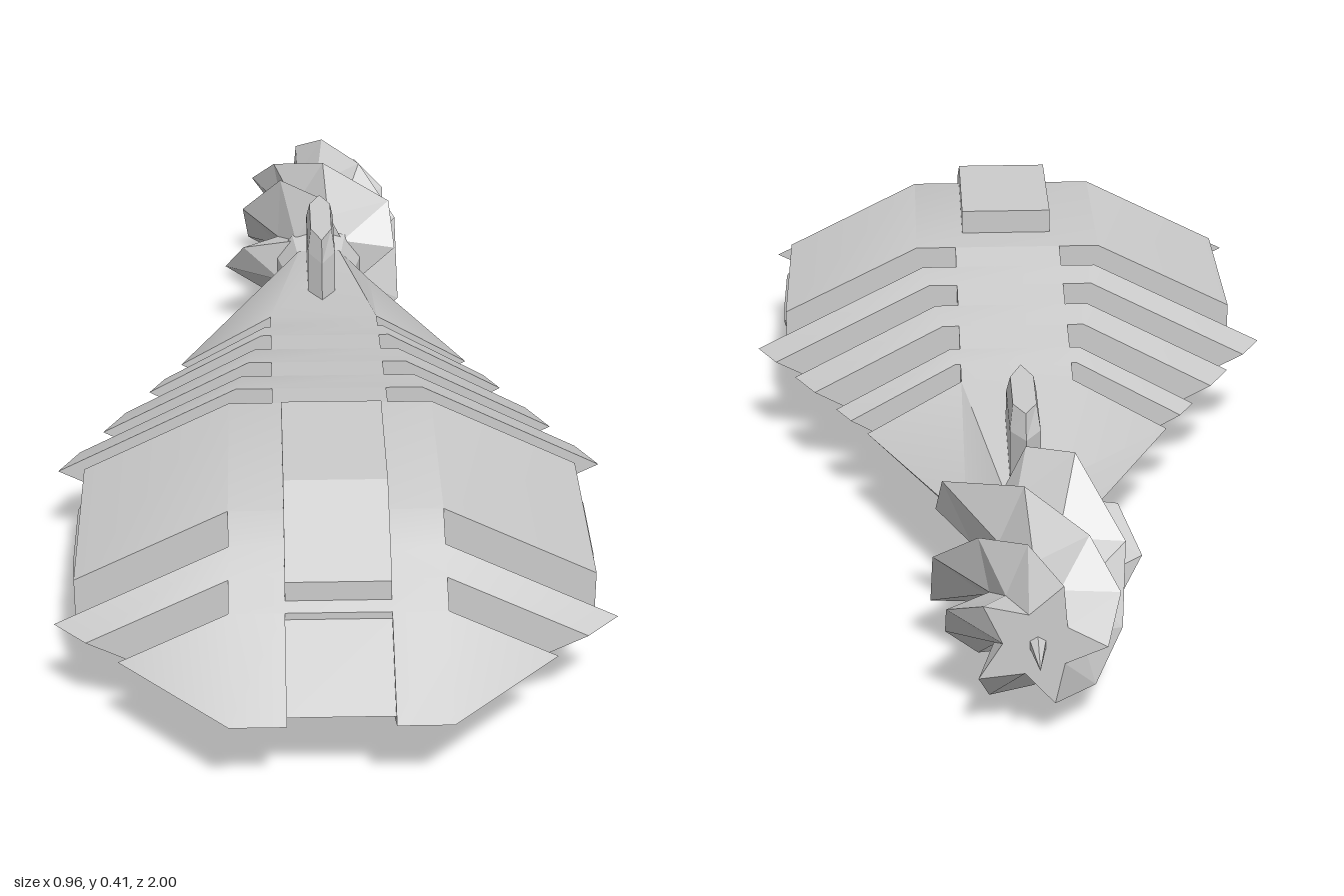
import * as THREE from 'three';
import { mergeGeometries, toCreasedNormals } from 'three/addons/utils/BufferGeometryUtils.js';

const MID = 0.175; // height of the hull's centre plane
const material = new THREE.MeshStandardMaterial({ color: 0xcccccc });
const flatMaterial = new THREE.MeshStandardMaterial({ color: 0xcccccc, flatShading: true });

// Joins rings (counter-clockwise around the direction of travel) and caps both ends.
function loft(rings, endCentre) {
  const pos = [];
  const tri = (a, b, c) => {
    const [A, B, C] = [a, b, c].map((p) => new THREE.Vector3(...p));
    if (B.sub(A).cross(C.sub(A)).length() > 1e-8) pos.push(...a, ...b, ...c);
  };
  const n = rings[0].length;
  const centre = (r) => [0, 1, 2].map((k) => r.reduce((s, p) => s + p[k], 0) / n);
  const last = rings[rings.length - 1];
  const c0 = centre(rings[0]);
  const c1 = endCentre || centre(last);
  for (let i = 0; i < n; i++) {
    const j = (i + 1) % n;
    for (let k = 0; k + 1 < rings.length; k++) {
      const [a, b] = [rings[k], rings[k + 1]];
      tri(a[i], a[j], b[j]);
      tri(a[i], b[j], b[i]);
    }
    tri(c0, rings[0][j], rings[0][i]);
    tri(c1, last[i], last[j]);
  }
  const g = new THREE.BufferGeometry();
  g.setAttribute('position', new THREE.Float32BufferAttribute(pos, 3));
  g.computeVertexNormals();
  return g;
}

// Hull stations: z, half width, half width of the flat top, half height
const STATIONS = [
  [-0.5, 0.1, 0.04, 0.065],
  [-0.155, 0.27, 0.1, 0.1],
  [0.3, 0.52, 0.175, 0.175],
  [0.65, 0.52, 0.175, 0.175],
  [1, 0.175, 0.175, 0],
];

function hullAt(z) {
  let i = 0;
  while (i < STATIONS.length - 2 && z > STATIONS[i + 1][0]) i++;
  const [a, b] = [STATIONS[i], STATIONS[i + 1]];
  const f = (z - a[0]) / (b[0] - a[0]);
  const [, w, t, h] = a.map((v, k) => THREE.MathUtils.lerp(v, b[k], f));
  const y = (x) => (Math.abs(x) <= t + 1e-6 ? h : (h * Math.max(0, w - Math.abs(x))) / (w - t));
  return { w, t, y };
}

// Cross-section mirrored above and below the centre plane; xs run from +x to -x.
function section(z, xs, y) {
  const upper = xs.map((x) => [x, MID + y(x), z]);
  const lower = xs.map((x) => [x, MID - y(x), z]).reverse();
  return [...upper, ...lower];
}

function hullSlice(z0, z1, limit) {
  return loft([z0, z1].map((z) => {
    const { w, t, y } = hullAt(z);
    const c = Math.min(w, limit);
    const f = Math.min(t, c);
    return section(z, [c, f, -f, -c], y);
  }));
}

function noseCheek(side) {
  return loft([0.82, 1].map((z) => {
    const { w, t, y } = hullAt(z);
    const xs = side > 0 ? [w, t, 0.085] : [-0.085, -t, -w];
    return section(z, xs, y);
  }));
}

function star(z, radius, inner, turn, points) {
  return Array.from({ length: points * 2 }, (_, i) => {
    const a = turn + (i * Math.PI) / points;
    const r = i % 2 ? inner : radius;
    return [r * Math.cos(a), MID + r * Math.sin(a), z];
  });
}

export function createModel() {
  const model = new THREE.Group();
  const add = (name, geometry, mat = flatMaterial) => {
    const mesh = new THREE.Mesh(geometry, mat);
    mesh.name = name;
    model.add(mesh);
    return mesh;
  };

  // Hull in slices: the narrow ones form the slots between the ribs
  const slices = [
    [-0.5, -0.155, 9], [-0.155, -0.1, 0.1], [-0.1, -0.05, 9], [-0.05, 0.025, 0.1],
    [0.025, 0.095, 9], [0.095, 0.165, 0.1], [0.165, 0.23, 9], [0.23, 0.3, 0.1],
    [0.3, 0.65, 0.43], [0.65, 0.71, 0.175], [0.71, 0.765, 9], [0.765, 0.82, 0.175],
  ];
  const hull = slices.map((s) => hullSlice(...s));
  hull.push(noseCheek(1), noseCheek(-1));
  add('hull', toCreasedNormals(mergeGeometries(hull), 0.6), material);

  // Sunken panel wrapping the nose
  add('nosePanel', loft([0.82, 0.975].map((z) => section(z, [0.085, -0.085], () => (0.975 - z) / 2))));

  // Raised cabin with sloping front
  const profile = [[0.375, 0.3], [0.65, 0.3], [0.8, 0.24], [0.8, 0.31], [0.63, 0.395], [0.375, 0.395]];
  const cabin = new THREE.ExtrudeGeometry(
    new THREE.Shape(profile.map((p) => new THREE.Vector2(...p))), { depth: 0.17, bevelEnabled: false });
  cabin.rotateY(-Math.PI / 2).translate(0.085, 0, 0);
  add('cabin', cabin);

  // Bevelled side lights
  const lightRing = (x, l, h) => [[-l, 0], [-l + h, h], [l - h, h], [l, 0], [l - h, -h], [-l + h, -h]]
    .map(([z, y]) => [x, MID + y, 0.47 + z]).reverse();
  const light = loft([lightRing(0.42, 0.14, 0.035).reverse(), lightRing(0.437, 0.1, 0.018).reverse()]);
  add('leftLight', light);
  const rightLight = add('rightLight', light);
  rightLight.rotation.y = Math.PI;
  rightLight.position.z = 0.94;

  // Tail fin, hexagonal in plan
  const finRing = (y, front, back, w) => [
    [w, y, front - 0.05], [w, y, back + 0.04], [0, y, back],
    [-w, y, back + 0.04], [-w, y, front - 0.05], [0, y, front],
  ];
  add('tailFin', loft([
    finRing(0.2, -0.21, -0.515, 0.026),
    finRing(0.33, -0.265, -0.515, 0.026),
    finRing(0.368, -0.29, -0.49, 0.02),
  ]));

  // Collar between hull and screw
  const collar = new THREE.CylinderGeometry(0.07, 0.09, 0.07, 10);
  collar.rotateX(Math.PI / 2).translate(0, MID, -0.52);
  add('collar', collar);

  // Twisted, tapering screw
  const screwStations = [[-0.92, 0.11], [-0.86, 0.145], [-0.79, 0.15], [-0.7, 0.165], [-0.6, 0.19], [-0.545, 0.16]];
  const screw = screwStations.map(([z, r]) =>
    star(z, r, r * 0.5, 0.3 - ((z + 0.545) / 0.375) * 2.9, 5));
  add('screw', loft(screw));

  // Pointed shaft end
  const spike = new THREE.ConeGeometry(0.025, 0.14, 6);
  spike.rotateX(-Math.PI / 2).translate(0, MID, -0.93);
  add('spike', spike);

  return model;
}
